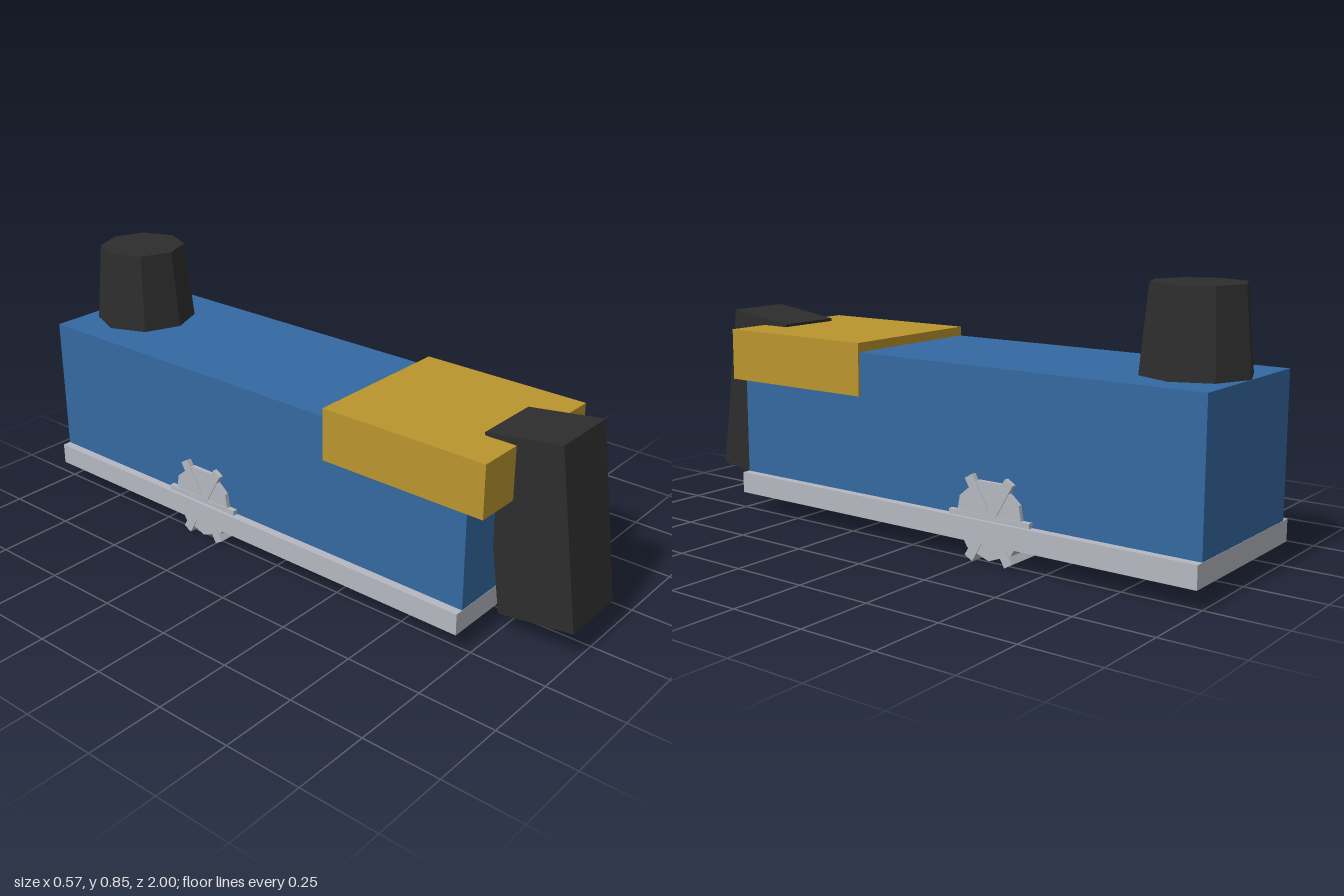
import * as THREE from 'three';

const mat = (name, color) => {
  const m = new THREE.MeshStandardMaterial({ color });
  m.name = name;
  return m;
};

export function createModel() {
  const group = new THREE.Group();
  const blue = mat('blue', 0x3569a2);
  const gold = mat('gold', 0xba942d);
  const black = mat('black', 0x2d2d2d);
  const grey = mat('grey', 0xb5b8c0);

  const add = (name, geometry, material, x, y, z, parent = group) => {
    const mesh = new THREE.Mesh(geometry, material);
    mesh.name = name;
    mesh.position.set(x, y, z);
    parent.add(mesh);
    return mesh;
  };
  const box = (w, h, d) => new THREE.BoxGeometry(w, h, d);
  const faceted = (geometry) => {
    const g = geometry.toNonIndexed();
    g.computeVertexNormals();
    return g;
  };

  // Main body on its base plate
  add('basePlate', box(0.572, 0.07, 1.72), grey, 0, 0.1, -0.14);
  add('body', box(0.516, 0.455, 1.718), blue, 0, 0.3625, -0.14);

  // Cap over the front end
  add('frontCap', box(0.528, 0.17, 0.57), gold, 0, 0.535, 0.49);

  // Tilted block at the front
  const block = add('frontBlock', box(0.226, 0.57, 0.252), black, 0, 0.365, 0.835);
  block.rotation.x = -0.14;

  // Tapered eight-sided knob at the back
  add('rearKnob', faceted(new THREE.CylinderGeometry(0.143, 0.168, 0.26, 8)), black, 0, 0.72, -0.832);

  // Six-toothed wheel running across the base
  const wheel = new THREE.Group();
  wheel.name = 'toothedWheel';
  wheel.position.set(0, 0.135, -0.31);
  group.add(wheel);
  const drum = faceted(new THREE.CylinderGeometry(0.124, 0.124, 0.544, 9, 1, false, -Math.PI / 2));
  drum.rotateZ(Math.PI / 2);
  add('wheelDrum', drum, grey, 0, 0, 0, wheel);
  for (let i = 0; i < 3; i++) {
    const bar = add('wheelToothBar', box(0.55, 0.032, 0.292), grey, 0, 0, 0, wheel);
    bar.rotation.x = (i * Math.PI) / 3;
  }
  return group;
}
